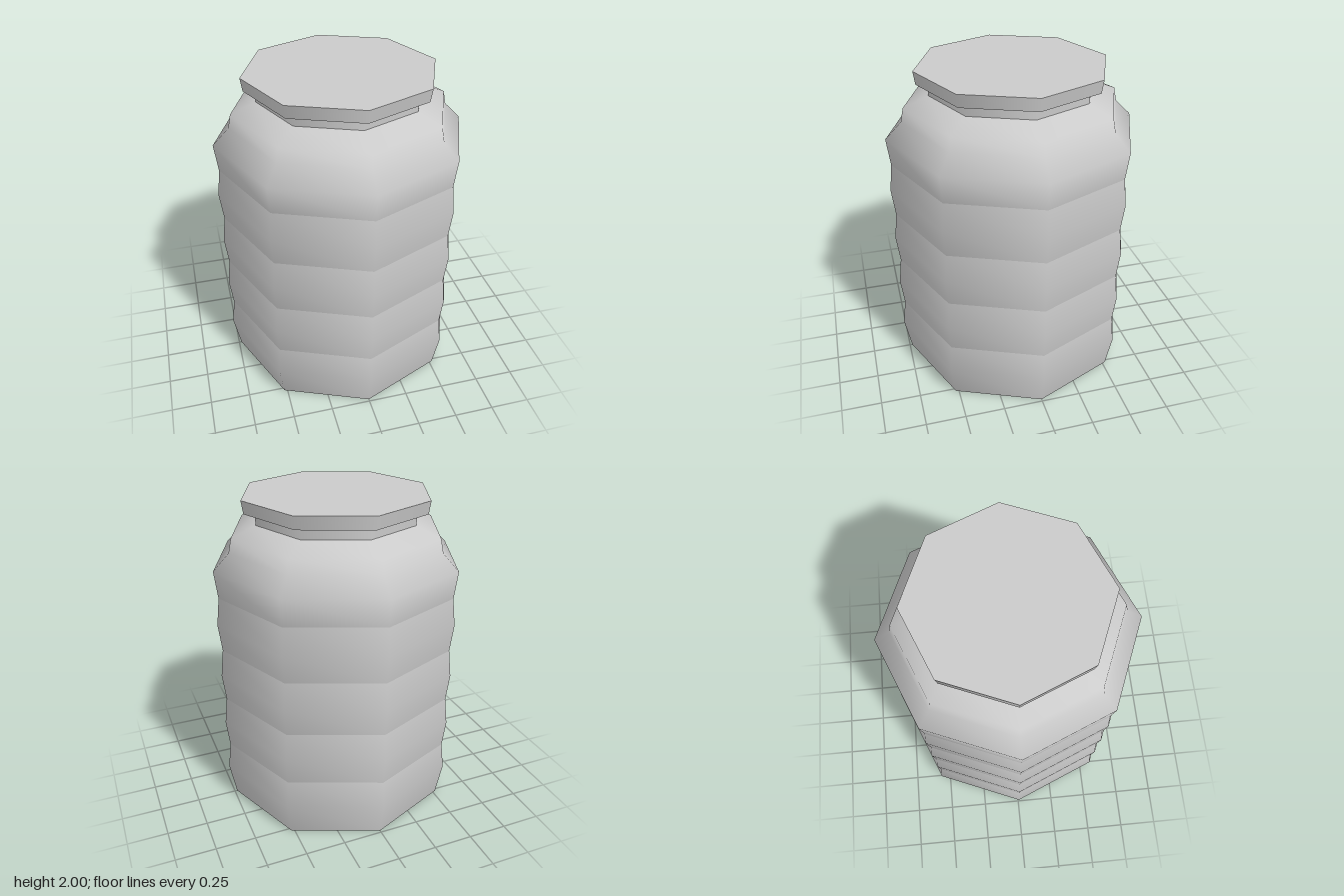
import * as THREE from 'three';

const SIDES = 8;

export function createModel() {
  const group = new THREE.Group();
  group.name = 'jar';
  const material = new THREE.MeshStandardMaterial({ color: 0xcccccc });

  // One smooth band of the octagonal jar; profile of [radius, height], bottom to top
  function band(name, profile, parent) {
    const points = profile.map(([r, y]) => new THREE.Vector2(r, y));
    const mesh = new THREE.Mesh(new THREE.LatheGeometry(points, SIDES), material);
    mesh.name = name;
    parent.add(mesh);
  }

  // Body: bulging ribs that meet in sharp grooves
  const body = new THREE.Group();
  body.name = 'body';
  group.add(body);
  const ribs = 4, pitch = 0.346, groove = 0.755, bulge = 0.775;
  band('base', [[0, 0], [0.735, 0]], body);
  for (let i = 0; i < ribs; i++) {
    const peak = 0.218 + i * pitch;
    const bottom = i === 0 ? [0.735, 0] : [groove, peak - pitch / 2];
    band('rib', [bottom, [bulge, peak], [groove, peak + pitch / 2]], body);
  }

  // Shoulder: last rib tapering in two steps to the neck
  band('shoulder', [
    [groove, 0.218 + (ribs - 0.5) * pitch], [bulge, 1.6],
    [0.675, 1.7], [0.657, 1.785], [0.505, 1.847],
  ], body);

  // Neck
  band('neck', [[0.505, 1.847], [0.505, 1.92]], group);

  // Lid: underside, slightly flared rim and flat top
  const lid = new THREE.Group();
  lid.name = 'lid';
  group.add(lid);
  band('lidUnderside', [[0, 1.92], [0.573, 1.92]], lid);
  band('lidRim', [[0.573, 1.92], [0.585, 2]], lid);
  band('lidTop', [[0.585, 2], [0, 2]], lid);

  return group;
}
